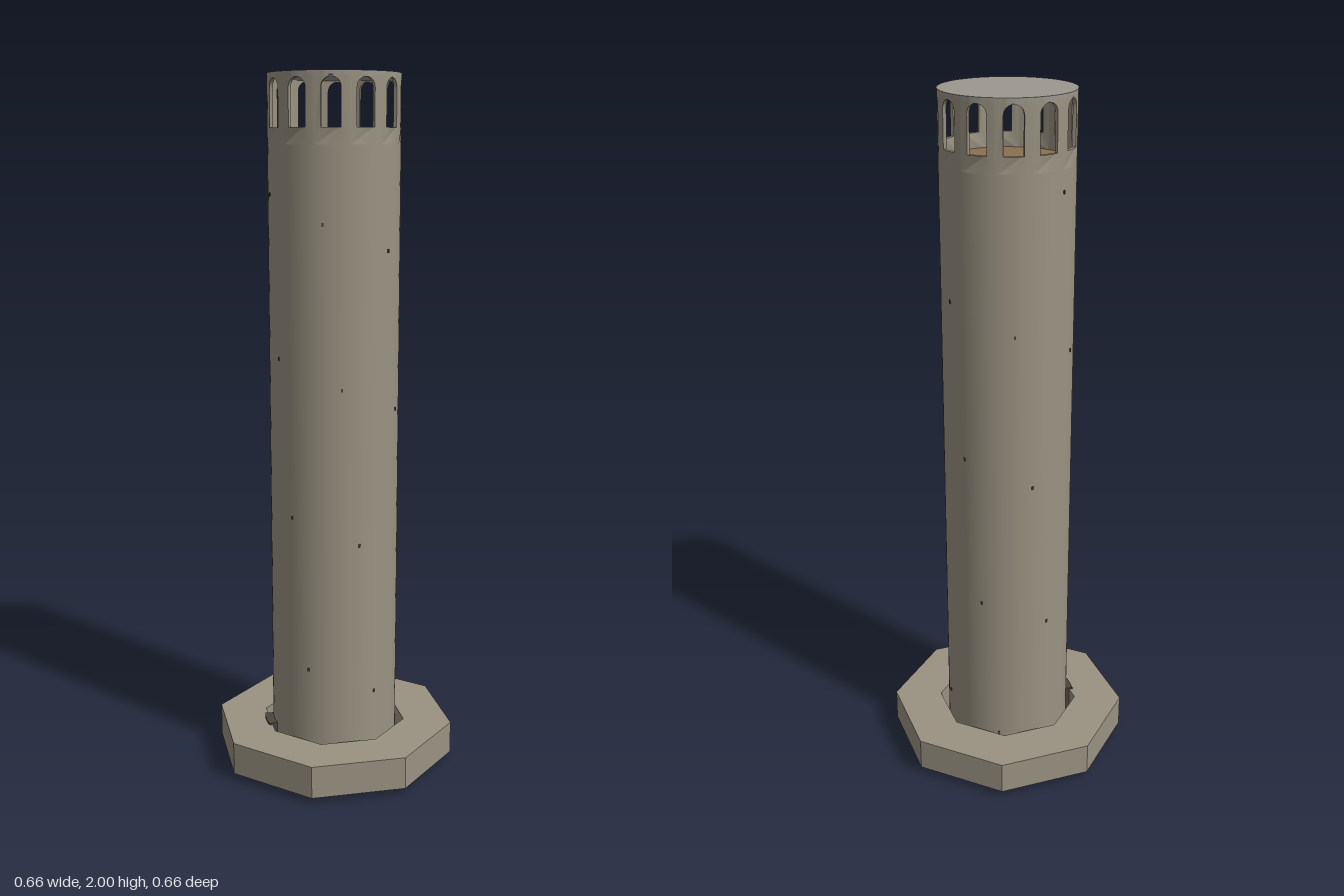
import * as THREE from 'three';
import { toCreasedNormals } from 'three/addons/utils/BufferGeometryUtils.js';

const RAD = Math.PI / 180;
const R = 0.185; // tower radius
const FLOOR = 1.81; // lantern floor height
const TOP = 2;
const BASE = 0.02; // underside of tower and plinth

const mat = (color, side = THREE.FrontSide) => new THREE.MeshStandardMaterial({ color, side });
const stone = mat(0x9a9382);
const roofStone = mat(0x9c9890);
const wood = mat(0x8b7050);
const dark = mat(0x4a453c);

function add(parent, name, geometry, material, y = 0) {
  const mesh = new THREE.Mesh(geometry, material);
  mesh.name = name;
  mesh.position.y = y;
  parent.add(mesh);
  return mesh;
}

// Flat shape in plan, extruded upwards
function slab(shape, height, curveSegments = 12) {
  const g = new THREE.ExtrudeGeometry(shape, { depth: height, bevelEnabled: false, curveSegments });
  return g.rotateX(-Math.PI / 2);
}

// Ring sector; angles in degrees from the front (+z) towards +x
function sector(inner, outer, from, to, height, segments) {
  const a = (from - 90) * RAD, b = (to - 90) * RAD;
  const s = new THREE.Shape();
  if (inner > 0) s.absarc(0, 0, inner, b, a, true);
  else s.moveTo(0, 0);
  s.absarc(0, 0, outer, a, b, false);
  s.closePath();
  return slab(s, height, segments);
}

function octagon(apothem) {
  const r = apothem / Math.cos(Math.PI / 8);
  return Array.from({ length: 8 }, (_, i) => {
    const a = (i + 0.5) * Math.PI / 4;
    return new THREE.Vector2(r * Math.cos(a), r * Math.sin(a));
  });
}

// One arched bay of the lantern wall, bent round the tower axis
function lanternBay(bays) {
  const w = Math.PI * R / bays, n = 6, half = 0.027;
  const sill = 1.855, spring = 1.957, thickness = 0.01;
  const outline = [], hole = [];
  for (let i = 0; i <= n; i++) outline.push(new THREE.Vector2(-w + 2 * w * i / n, FLOOR));
  for (let i = 0; i <= n; i++) outline.push(new THREE.Vector2(w - 2 * w * i / n, TOP));
  for (let i = 0; i <= 4; i++) hole.push(new THREE.Vector2(-half + half * i / 2, sill));
  for (let i = 0; i <= 12; i++) {
    const a = Math.PI * i / 12;
    hole.push(new THREE.Vector2(half * Math.cos(a), spring + half * Math.sin(a)));
  }
  const shape = new THREE.Shape(outline);
  shape.holes.push(new THREE.Path(hole));
  const g = new THREE.ExtrudeGeometry(shape, { depth: thickness, bevelEnabled: false });
  const p = g.attributes.position;
  for (let i = 0; i < p.count; i++) {
    const a = p.getX(i) / R, r = R - thickness + p.getZ(i);
    p.setXYZ(i, r * Math.sin(a), p.getY(i), r * Math.cos(a));
  }
  return toCreasedNormals(g, 0.6);
}

export function createModel() {
  const model = new THREE.Group();
  model.name = 'tower';

  // Octagonal plinth with an octagonal opening
  const plinth = new THREE.Shape(octagon(0.328));
  plinth.holes.push(new THREE.Path(octagon(0.196)));
  add(model, 'plinth', slab(plinth, 0.095), stone, BASE);

  // Tower shaft, ground slab and roof
  const h = FLOOR - BASE;
  add(model, 'shaft', new THREE.CylinderGeometry(R, R, h, 72, 1, true), stone, BASE + h / 2);
  add(model, 'groundSlab', new THREE.CylinderGeometry(R, R, 0.005, 72), wood, BASE + 0.0025);
  add(model, 'roof', new THREE.CylinderGeometry(R, R, 0.012, 72), roofStone, TOP - 0.006);

  // Lantern arcade
  const lantern = new THREE.Group();
  lantern.name = 'lantern';
  const bays = 12, bay = lanternBay(bays);
  for (let i = 0; i < bays; i++) {
    add(lantern, 'lanternBay', bay, stone).rotation.y = (i + 0.5) * 2 * Math.PI / bays;
  }
  model.add(lantern);

  // Lantern floor, open over the head of the stair
  add(model, 'lanternFloor', sector(0, R - 0.001, 180, 445, 0.008, 48), wood, FLOOR - 0.006);

  // Spiral stair round a newel post
  const stair = new THREE.Group();
  stair.name = 'spiralStair';
  const turn = 12.54, rise = 0.01496;
  const step = sector(0.05, R - 0.001, -turn / 2, turn / 2, rise, 4);
  for (let i = 0; i < 120; i++) {
    add(stair, 'step', step, dark, i * rise).rotation.y = (149 - i * turn) * RAD;
  }
  add(stair, 'newel', new THREE.CylinderGeometry(0.05, 0.05, h - 0.02, 24), stone, BASE + h / 2);
  model.add(stair);

  // Tiny windows following the stair
  const pane = new THREE.BoxGeometry(0.006, 0.01, 0.006);
  for (let i = 0; i < 23; i++) {
    const a = (152 - i * 5 * turn) * RAD;
    const win = add(model, 'slitWindow', pane, dark, 0.105 + i * 5 * rise);
    win.position.x = (R - 0.001) * Math.sin(a);
    win.position.z = (R - 0.001) * Math.cos(a);
    win.rotation.y = a;
  }

  // Low curved doorway at the foot of the tower
  add(model, 'doorway', sector(R - 0.002, 0.21, 259, 281, 0.1, 6), dark, BASE);
  return model;
}
